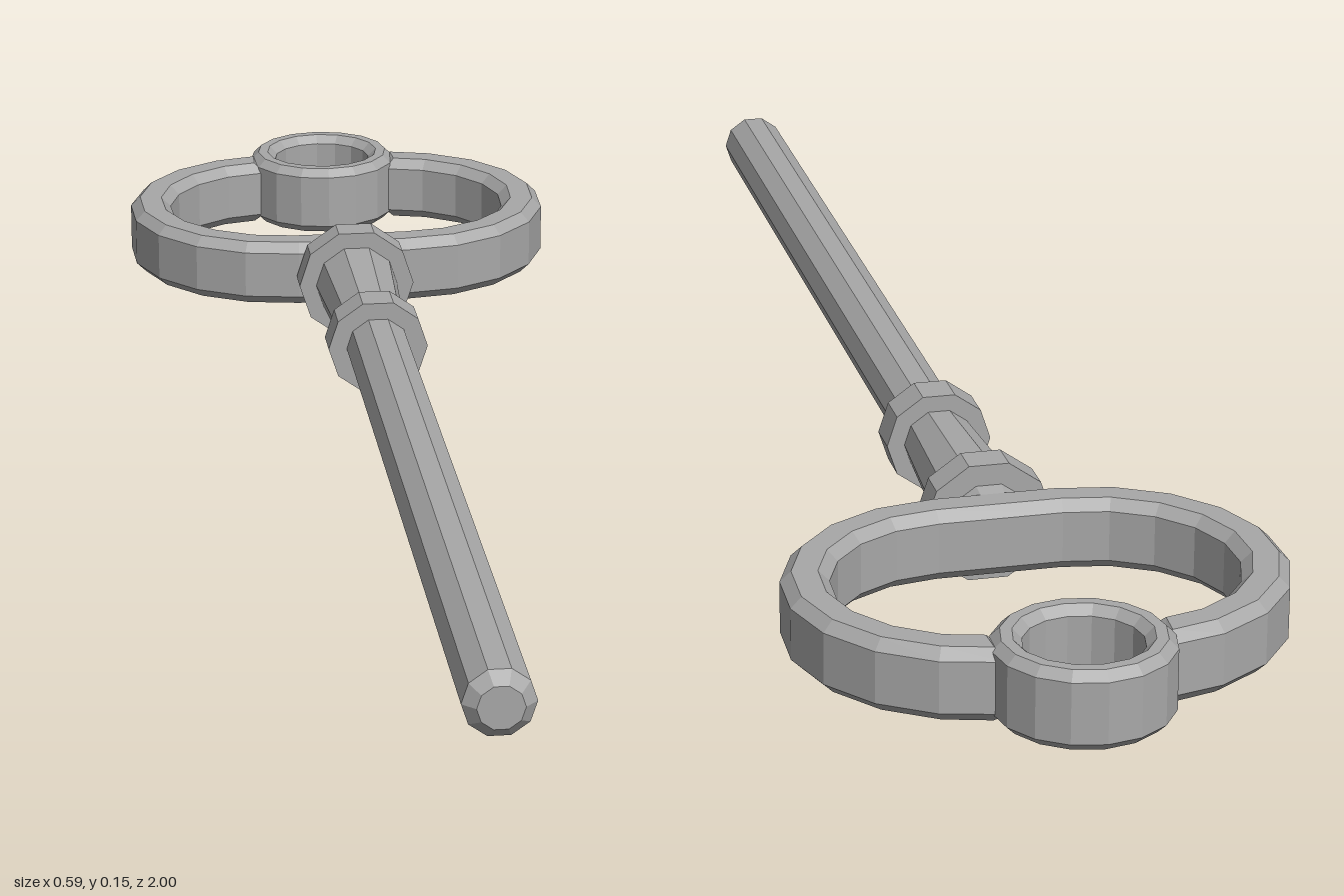
import * as THREE from 'three';

const AXIS_Y = 0.075;

// Faceted normals for the low-poly look
function faceted(geometry) {
  const g = geometry.index ? geometry.toNonIndexed() : geometry;
  g.computeVertexNormals();
  return g;
}

// Ten-sided turned part along z; profile is [radius, z] from back to front
function turned(profile) {
  const g = new THREE.LatheGeometry(profile.map(([r, z]) => new THREE.Vector2(r, z)), 10);
  g.rotateY(Math.PI / 2).rotateX(Math.PI / 2).scale(1, 0.98, 1).translate(0, AXIS_Y, 0);
  return faceted(g);
}

// Flat plate drawn in x/z with chamfered edges, between two heights
function plate(shape, bottom, top, bevel) {
  const g = new THREE.ExtrudeGeometry(shape, {
    depth: top - bottom - 2 * bevel, bevelThickness: bevel,
    bevelSize: bevel, bevelOffset: -bevel, bevelSegments: 1,
  });
  g.rotateX(Math.PI / 2).translate(0, top - bevel, 0);
  return faceted(g);
}

function arc(cx, cy, r, from, to, n) {
  return Array.from({ length: n + 1 }, (_, i) => {
    const a = from + (to - from) * i / n;
    return new THREE.Vector2(cx + r * Math.cos(a), cy + r * Math.sin(a));
  });
}

export function createModel() {
  const group = new THREE.Group();
  const steel = new THREE.MeshStandardMaterial({ color: 0xa8a8a8 });
  steel.name = 'grey steel';
  const add = (name, geometry) => {
    const mesh = new THREE.Mesh(geometry, steel);
    mesh.name = name;
    group.add(mesh);
  };

  // Shaft with chamfered tip, and the tapered neck behind it
  add('shaft', turned([[0, -0.2], [0.042, -0.2], [0.042, 0.985], [0.027, 1], [0, 1]]));
  add('neck', turned([[0, -0.49], [0.045, -0.49], [0.057, -0.44], [0.043, -0.19], [0, -0.19]]));

  // Collars
  add('frontCollar', turned([[0, -0.21], [0.066, -0.21], [0.066, -0.16], [0, -0.16]]));
  add('rearCollar', turned([[0, -0.465], [0.079, -0.465], [0.079, -0.422], [0, -0.422]]));

  // Bow: open oval band whose ends run into the small ring
  const h = Math.PI / 2, cx = 0.075, cz = -0.69;
  const band = (r) => {
    const e = Math.asin(0.015 / r);
    return [...arc(cx, cz, r, -h + e, h, 9), ...arc(-cx, cz, r, h, 3 * h - e, 9)];
  };
  add('bow', plate(new THREE.Shape([...band(0.22), ...band(0.163).reverse()]), 0.03, 0.119, 0.013));

  // Small hanging ring
  const ring = new THREE.Shape(arc(0, -0.895, 0.105, 0, 4 * h, 16).slice(0, -1));
  ring.holes.push(new THREE.Path(arc(0, -0.895, 0.069, 0, 4 * h, 16).slice(0, -1).reverse()));
  add('hangingRing', plate(ring, 0.029, 0.125, 0.011));

  return group;
}
